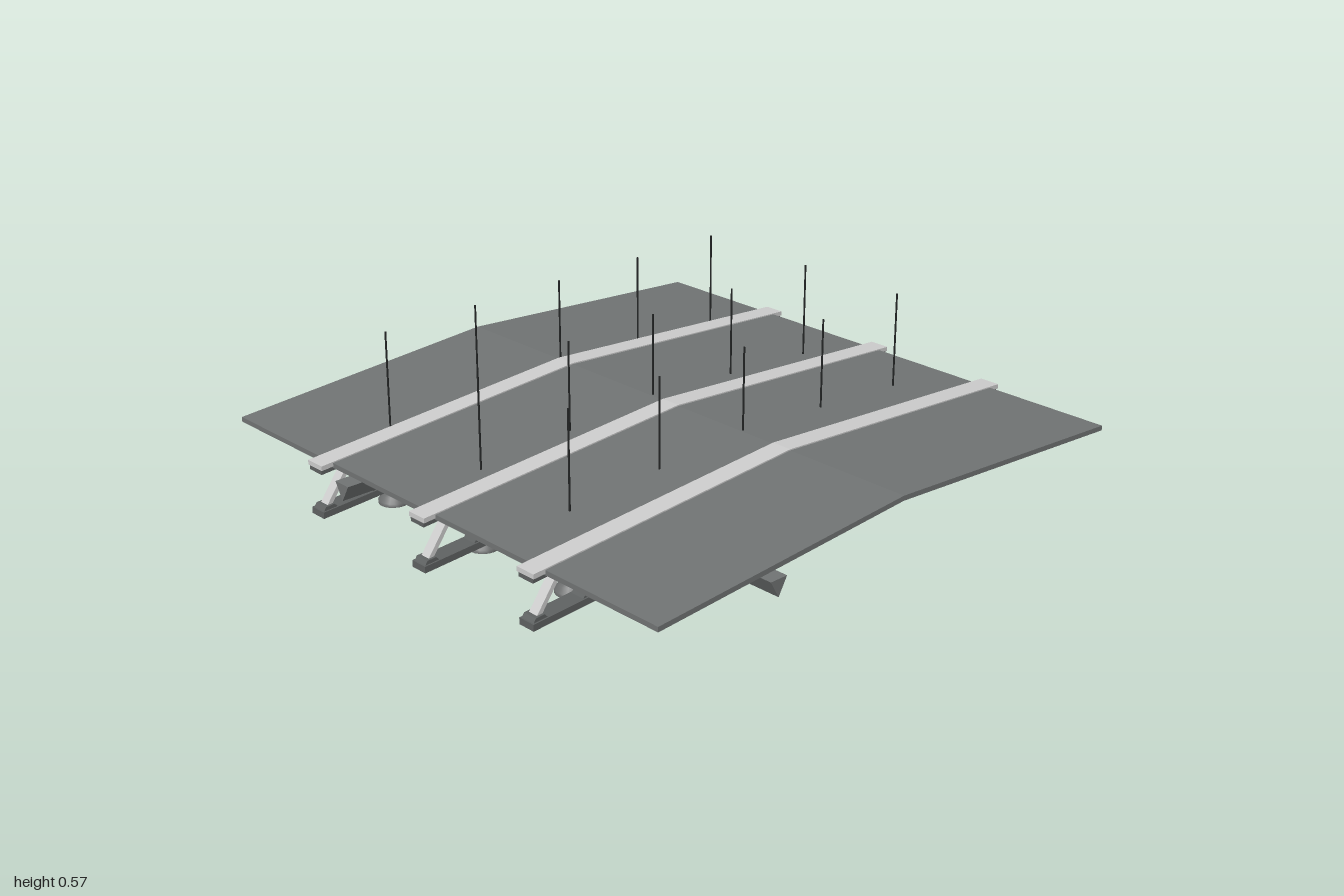
import * as THREE from 'three';

const mat = (name, color, side = THREE.FrontSide) => {
  const m = new THREE.MeshStandardMaterial({ color, side });
  m.name = name;
  return m;
};

export function createModel() {
  const roofGrey = mat('roof grey', 0x707373);
  const paleSteel = mat('pale steel', 0xcccccc);
  const darkSteel = mat('dark steel', 0x5e6161);
  const lampGrey = mat('lamp grey', 0x6c6e6e, THREE.DoubleSide);
  const cordBlack = mat('cord black', 0x222424);

  const model = new THREE.Group();
  model.name = 'roofStructure';
  const add = (parent, name, geometry, material, x = 0, y = 0, z = 0) => {
    const mesh = new THREE.Mesh(geometry, material);
    mesh.name = name;
    mesh.position.set(x, y, z);
    parent.add(mesh);
    return mesh;
  };

  // Extrudes an outline drawn in (z, y) along x, centred on x = 0
  const extrudeAlongX = (points, width) => {
    const shape = new THREE.Shape(points.map(([a, b]) => new THREE.Vector2(a, b)));
    const g = new THREE.ExtrudeGeometry(shape, { depth: width, bevelEnabled: false });
    return g.translate(0, 0, -width / 2).rotateY(Math.PI / 2);
  };
  // Gable-shaped strip that peaks at z = 0
  const gable = (half, ridge, end, thick, width) => extrudeAlongX([
    [-half, end - thick], [0, ridge - thick], [half, end - thick],
    [half, end], [0, ridge], [-half, end],
  ], width);

  // Two-slope roof
  add(model, 'roof', gable(0.958, 0.3, 0.237, 0.016, 1.916), roofGrey, 0.04);

  // Trusses
  const topY = z => 0.274 - 0.066 * Math.abs(z);
  const bottomY = z => 0.143 - 0.059 * Math.abs(z);
  const topNodes = [0.12, 0.31, 0.5, 0.695, 0.88];
  const bottomNodes = [0, 0.205, 0.41, 0.6, 0.79, 0.975];

  const capGeo = gable(1, 0.304, 0.238, 0.015, 0.07);
  const upperGeo = gable(0.998, 0.289, 0.223, 0.015, 0.06);
  const lowerGeo = gable(1, 0.143, 0.084, 0.021, 0.06);
  const nodeGeo = extrudeAlongX([
    [-0.026, 0], [0.026, 0], [0.016, 0.013], [-0.016, 0.013],
  ], 0.05);

  const addStrut = (truss, z1, y1, z2, y2) => {
    const length = Math.hypot(z2 - z1, y2 - y1);
    const strut = add(truss, 'diagonalStrut', new THREE.BoxGeometry(0.034, length, 0.015),
      paleSteel, 0, (y1 + y2) / 2, (z1 + z2) / 2);
    strut.rotation.x = Math.atan2(z2 - z1, y2 - y1);
  };

  for (const x of [-0.457, 0.043, 0.522]) {
    const truss = new THREE.Group();
    truss.name = 'truss';
    truss.position.x = x;
    model.add(truss);
    add(truss, 'capStrip', capGeo, paleSteel);
    add(truss, 'upperChord', upperGeo, darkSteel);
    add(truss, 'lowerChord', lowerGeo, darkSteel);
    for (const side of [-1, 1]) {
      topNodes.forEach((t, i) => {
        const z = t * side;
        for (const b of [bottomNodes[i], bottomNodes[i + 1]]) {
          addStrut(truss, b * side, bottomY(b), z, topY(t));
        }
        // Gusset hanging below the upper chord
        const gusset = add(truss, 'upperGusset', nodeGeo, darkSteel, 0, topY(t) + 0.001, z);
        gusset.rotation.x = Math.PI + side * 0.066;
      });
      bottomNodes.forEach((b, i) => {
        if (i === 0 && side < 0) return;
        const gusset = add(truss, 'lowerGusset', nodeGeo, darkSteel,
          0, bottomY(b) - 0.001, Math.min(b, 0.97) * side);
        gusset.rotation.x = i ? side * 0.059 : 0;
      });
    }
  }

  // Crossing triangular beams, apex down
  const profile = [[0, 0.132], [0.032, 0.188], [-0.032, 0.188]];
  add(model, 'crossBeam', extrudeAlongX(profile, 1.96), roofGrey, -0.02, 0, 0.47);
  const longBeam = add(model, 'lengthBeam', extrudeAlongX(profile, 0.985), roofGrey,
    -0.37, -0.0005, 0.475);
  longBeam.rotation.y = Math.PI / 2;

  // Hanging lamps
  const shadeGeo = new THREE.LatheGeometry([
    [0.05, 0], [0.05, 0.012], [0.036, 0.026], [0.016, 0.042], [0.012, 0.058], [0.004, 0.066],
  ].map(([r, y]) => new THREE.Vector2(r, y)), 20);
  const bulbGeo = new THREE.SphereGeometry(0.016, 12, 8);
  const cordGeo = new THREE.CylinderGeometry(0.003, 0.003, 0.508, 8);
  for (const x of [-0.495, -0.048, 0.351]) {
    for (const z of [-0.71, -0.36, -0.01, 0.34, 0.69]) {
      const lamp = new THREE.Group();
      lamp.name = 'pendantLamp';
      lamp.position.set(x, 0, z);
      model.add(lamp);
      add(lamp, 'lampShade', shadeGeo, lampGrey);
      add(lamp, 'bulb', bulbGeo, lampGrey, 0, 0.02);
      add(lamp, 'cord', cordGeo, cordBlack, 0, 0.316);
    }
  }
  return model;
}
